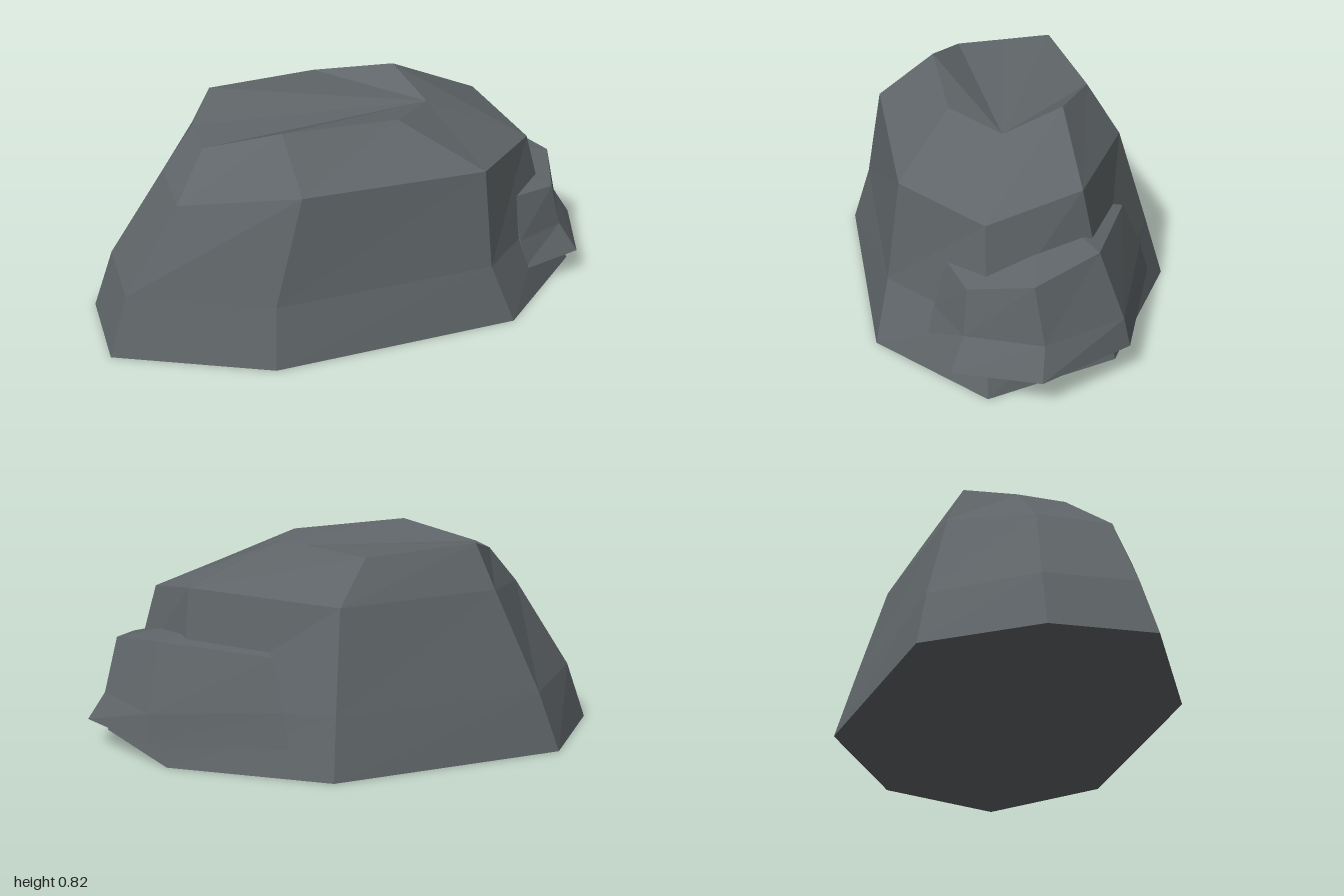
import * as THREE from 'three';

// Skin a stack of equal-length rings (counter-clockwise from above) and cap both ends.
function skin(rings, fanStart) {
  const n = rings[0].length;
  const position = [];
  const tri = (a, b, c) => position.push(...a, ...b, ...c);
  for (let r = 0; r < rings.length - 1; r++) {
    for (let i = 0; i < n; i++) {
      const j = (i + 1) % n;
      const lo = rings[r], hi = rings[r + 1];
      tri(lo[i], lo[j], hi[j]);
      tri(lo[i], hi[j], hi[i]);
    }
  }
  const bottom = rings[0], top = rings[rings.length - 1];
  for (let k = 1; k < n - 1; k++) {
    const b = (fanStart + k) % n, c = (fanStart + k + 1) % n;
    tri(top[fanStart], top[b], top[c]);
    tri(bottom[fanStart], bottom[c], bottom[b]);
  }
  const geometry = new THREE.BufferGeometry();
  geometry.setAttribute('position', new THREE.Float32BufferAttribute(position, 3));
  geometry.computeVertexNormals();
  return geometry;
}

export function createModel() {
  const group = new THREE.Group();
  group.name = 'rock';
  const stone = new THREE.MeshStandardMaterial({ color: 0x5f6568 });
  stone.name = 'slate grey stone';
  stone.flatShading = true;

  // Main boulder: eight-sided, tapering to a tilted, slightly dished top
  const boulder = new THREE.Mesh(skin([
    [[-0.94, 0, 0.48], [-0.33, 0, 0.65], [0.62, 0, 0.44], [0.95, 0, 0],
      [0.68, 0, -0.455], [0.06, 0, -0.65], [-0.82, 0, -0.33], [-1, 0, 0.1]],
    [[-0.87, 0.23, 0.43], [-0.32, 0.23, 0.58], [0.53, 0.23, 0.4], [0.84, 0.23, 0.01],
      [0.62, 0.23, -0.41], [0.05, 0.23, -0.58], [-0.74, 0.23, -0.3], [-0.92, 0.23, 0.09]],
    [[-0.66, 0.57, 0.37], [-0.21, 0.64, 0.505], [0.5, 0.62, 0.35], [0.74, 0.59, 0.02],
      [0.59, 0.66, -0.32], [0.03, 0.61, -0.46], [-0.57, 0.62, -0.23], [-0.7, 0.58, 0.09]],
    [[-0.55, 0.72, 0.21], [-0.26, 0.8, 0.29], [0.19, 0.78, 0.19], [0.34, 0.75, -0.02],
      [0.24, 0.82, -0.24], [-0.07, 0.77, -0.33], [-0.5, 0.79, -0.17], [-0.58, 0.73, 0.03]],
  ], 3), stone);
  boulder.name = 'boulder';
  group.add(boulder);

  // Ledge wrapped round the back left corner; its last point is buried in the boulder
  const ledge = new THREE.Mesh(skin([
    [[0.7, 0.11, 0.25], [0.95, 0.11, 0.13], [1, 0.11, -0.195],
      [0.75, 0.11, -0.505], [0.22, 0.11, -0.585], [0.3, 0.11, -0.1]],
    [[0.69, 0.22, 0.21], [0.88, 0.22, 0.09], [0.93, 0.22, -0.2],
      [0.74, 0.22, -0.48], [0.24, 0.24, -0.55], [0.3, 0.22, -0.1]],
    [[0.66, 0.4, 0.17], [0.84, 0.39, 0.08], [0.88, 0.43, -0.16],
      [0.7, 0.47, -0.385], [0.28, 0.43, -0.475], [0.4, 0.52, -0.15]],
  ], 5), stone);
  ledge.name = 'ledge';
  group.add(ledge);

  return group;
}
